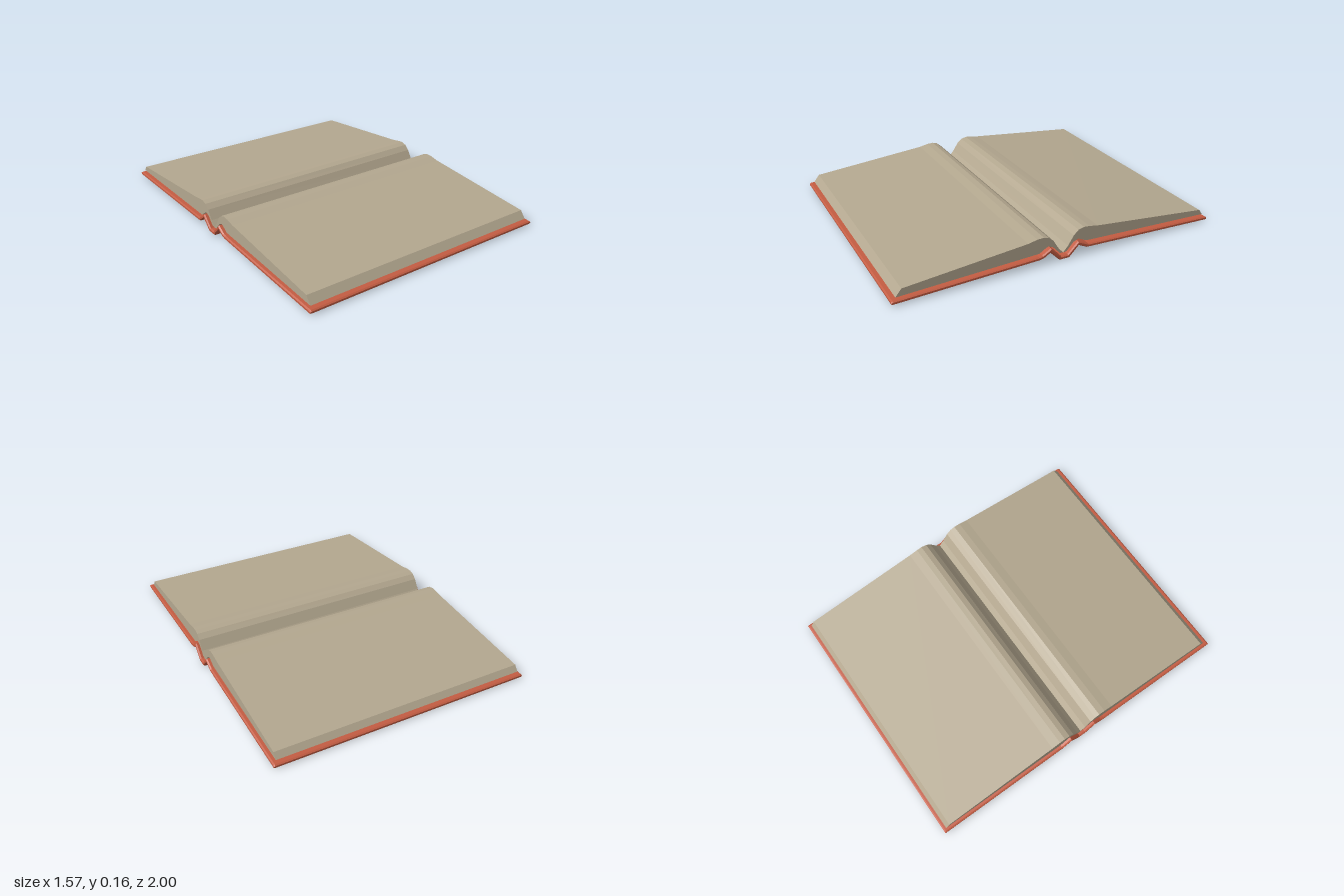
import * as THREE from 'three';

const HALF_COVER = 0.787, HALF_PAGE = 0.767;

// Joins matching closed rings of [z, y, drop] placed along x; "drop" is how far
// the point sags at the -x end, which gives the back half its slight twist.
function loft(name, sections, color) {
  const rings = sections.map(({ x, ring }) =>
    ring.map(([z, y, drop = 0]) => new THREE.Vector3(x, y - drop * (0.5 - x / (2 * HALF_COVER)), z)));
  const flat = sections[0].ring.map(([z, y]) => new THREE.Vector2(-z, y));
  if (THREE.ShapeUtils.isClockWise(flat)) {
    flat.reverse();
    rings.forEach(r => r.reverse());
  }
  const pos = [];
  const tri = (a, b, c) => [a, b, c].forEach(p => pos.push(p.x, p.y, p.z));
  for (let s = 0; s < rings.length - 1; s++) {
    const a = rings[s], b = rings[s + 1];
    for (let i = 0; i < a.length; i++) {
      const j = (i + 1) % a.length;
      tri(a[i], a[j], b[j]);
      tri(a[i], b[j], b[i]);
    }
  }
  // End caps
  const first = rings[0], last = rings[rings.length - 1];
  for (const [i, j, k] of THREE.ShapeUtils.triangulateShape(flat, [])) {
    tri(last[i], last[j], last[k]);
    tri(first[i], first[k], first[j]);
  }
  const geo = new THREE.BufferGeometry();
  geo.setAttribute('position', new THREE.Float32BufferAttribute(pos, 3));
  geo.computeVertexNormals();
  const mesh = new THREE.Mesh(geo, new THREE.MeshStandardMaterial({ color, flatShading: true }));
  mesh.name = name;
  return mesh;
}

// Thickens a centre line into a closed ring, with mitred bends.
function thicken(line, half) {
  const normal = (a, b) => new THREE.Vector2(b[1] - a[1], a[0] - b[0]).normalize();
  const top = [], bottom = [];
  line.forEach((p, i) => {
    const n0 = normal(line[Math.max(i - 1, 0)], line[Math.max(i, 1)]);
    const n1 = i < line.length - 1 ? normal(p, line[i + 1]) : n0;
    const n = n0.clone().add(n1).normalize();
    // Board ends are thinner for a chamfered rim
    const end = i === 0 || i === line.length - 1;
    const d = (end ? half * 0.5 : half) / n.dot(n0);
    top.push([p[0] + n.x * d, p[1] + n.y * d, p[2]]);
    bottom.push([p[0] - n.x * d, p[1] - n.y * d, p[2]]);
  });
  return [...top, ...bottom.reverse()];
}

export function createModel() {
  const book = new THREE.Group();
  book.name = 'openBook';

  // Cover: two boards, hinge ridges and a sunken spine
  const line = [
    [1, 0.016], [0.992, 0.0162], [0.16, 0.042], [0.135, 0.047], [0.088, 0.075], [0.025, 0.011],
    [-0.025, 0.011], [-0.088, 0.075, 0.002], [-0.15, 0.046, 0.018], [-0.992, 0.0132], [-1, 0.013],
  ];
  const full = thicken(line, 0.011), rim = thicken(line, 0.0055);
  book.add(loft('cover', [
    { x: -HALF_COVER, ring: rim },
    { x: -HALF_COVER + 0.008, ring: full },
    { x: HALF_COVER - 0.008, ring: full },
    { x: HALF_COVER, ring: rim },
  ], 0xc35c42));

  // Page blocks: fore edge, leaf surface, rounded crest, gutter, underside
  const frontRing = [
    [0.972, 0.035], [0.938, 0.078], [0.22, 0.143], [0.165, 0.154], [0.125, 0.156], [0.095, 0.147],
    [0.065, 0.122], [0.03, 0.066], [0, 0.032], [0.022, 0.035], [0.065, 0.082], [0.095, 0.095],
    [0.115, 0.086], [0.15, 0.064],
  ];
  const backRing = [
    [-0.98, 0.037], [-0.955, 0.07], [-0.22, 0.146, 0.004], [-0.165, 0.156, 0.005],
    [-0.13, 0.159, 0.005], [-0.095, 0.15, 0.005], [-0.065, 0.122, 0.003], [-0.03, 0.066], [0, 0.032],
    [-0.022, 0.035], [-0.065, 0.082], [-0.095, 0.095, 0.003], [-0.115, 0.086, 0.01], [-0.15, 0.07, 0.019],
  ];
  for (const [name, ring] of [['frontPages', frontRing], ['backPages', backRing]]) {
    book.add(loft(name, [{ x: -HALF_PAGE, ring }, { x: HALF_PAGE, ring }], 0xb3a78f));
  }
  return book;
}
